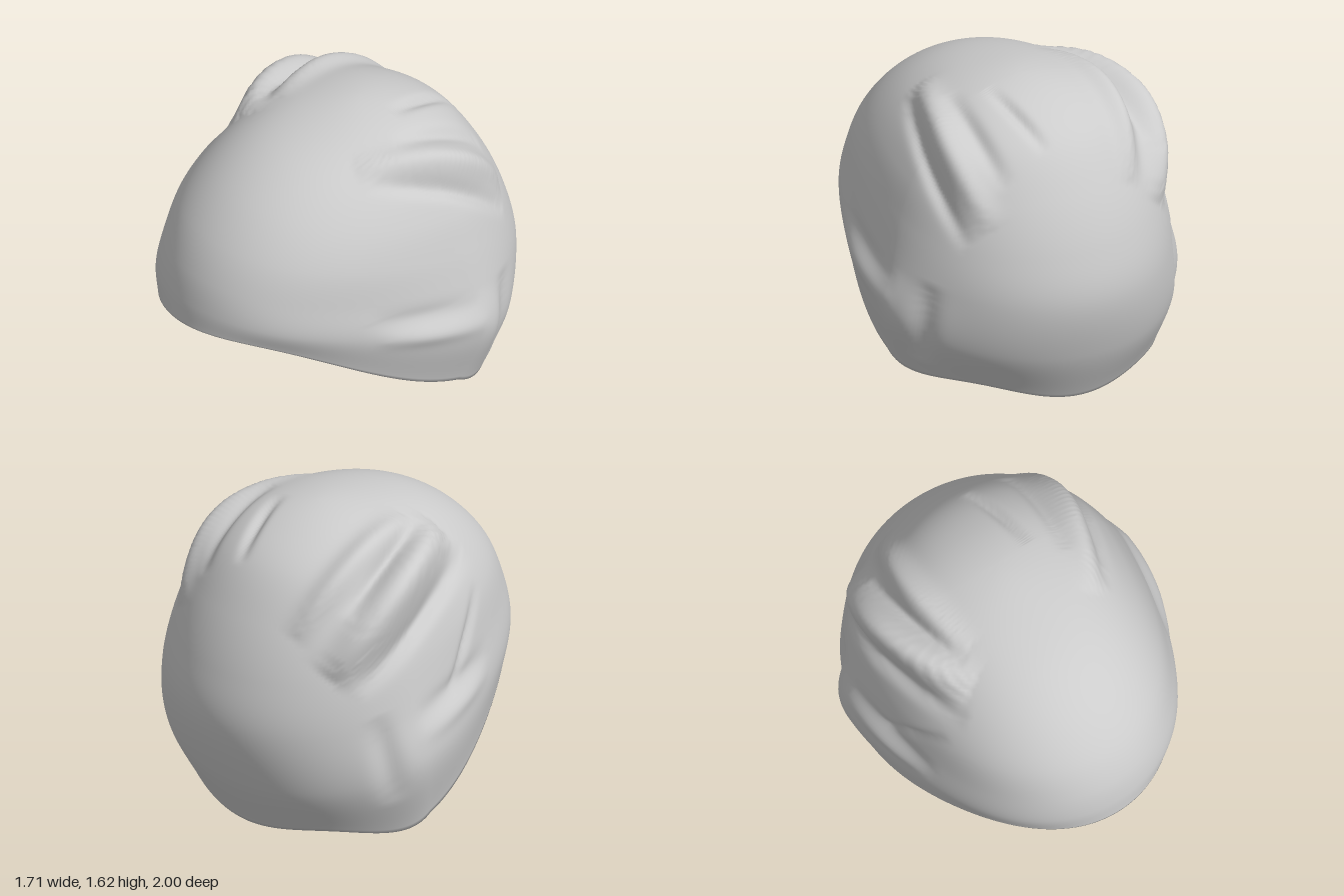
import * as THREE from 'three';
import { mergeVertices } from 'three/addons/utils/BufferGeometryUtils.js';

const CENTRE = new THREE.Vector3(0, 0.7, -0.1);
const AROUND = 200, UP = 110, LINING = 40;

// Rings from rim to crown: front z, y | back z, y | side x, y, z
const RINGS = [
  [1, 0.73, -0.79, 0.02, 0.72, 0.155, -0.2],
  [0.985, 0.86, -0.93, 0.32, 0.76, 0.5, -0.29],
  [0.94, 1.02, -1, 0.65, 0.75, 0.76, -0.28],
  [0.84, 1.2, -0.95, 0.92, 0.725, 1, -0.25],
  [0.66, 1.385, -0.83, 1.2, 0.66, 1.2, -0.25],
  [0.42, 1.525, -0.66, 1.44, 0.54, 1.4, -0.25],
  [0.1, 1.61, -0.45, 1.57, 0.36, 1.55, -0.22],
  [-0.2, 1.632, -0.2, 1.632, 0, 1.632, -0.2],
];

// Cloth folds along arcs: height (negative for a groove), width,
// then heading and elevation in degrees of the start and of the end
const CROWN_FOLDS = [
  [0.065, 0.085, 55, 61, 144, 25],
  [-0.035, 0.05, 61, 56, 136, 18],
  [-0.03, 0.05, 90, 67, 150, 39],
  [-0.03, 0.035, 170, 50, 121, 75],
  [0.14, 0.12, -50, 53, -139, 18],
  [-0.05, 0.07, -48, 42, -129, 13],
  [-0.05, 0.05, -58, 60, -132, 38],
  [0.065, 0.08, -61, 64, -153, 31],
  [-0.025, 0.04, -55, 31, -86, 1],
];
// Soft creases over each ear
const EAR_FOLDS = [
  [-0.02, 0.07, 57, 7, 107, -1],
  [0.018, 0.06, 60, 0, 108, -8],
  [-0.03, 0.08, 122, 3, 116, -29],
];

function heading(az, el) {
  const a = THREE.MathUtils.degToRad(az), e = THREE.MathUtils.degToRad(el);
  return new THREE.Vector3(Math.sin(a) * Math.cos(e), Math.sin(e), Math.cos(a) * Math.cos(e));
}

function makeFold([height, width, az1, el1, az2, el2], side) {
  const from = heading(az1 * side, el1), to = heading(az2 * side, el2);
  const dirs = [];
  for (let i = 0; i <= 40; i++) dirs.push(from.clone().lerp(to, i / 40).normalize());
  return { height, width, dirs };
}

const folds = CROWN_FOLDS.map((f) => makeFold(f, 1));
for (const side of [1, -1]) folds.push(...EAR_FOLDS.map((f) => makeFold(f, side)));

// Point on one ring; the height blends smoothly from back through side to front
function ringPoint(k, a) {
  const [fz, fy, bz, by, w, sy, sz] = RINGS[k];
  const c = Math.cos(a), s = Math.sin(a);
  const fullness = c > 0 ? (k === 0 ? 0.1 : 0.23 - 0.03 * k) * c * c : 0;
  const earBulge = 0.13 * Math.exp(-(((sy - 0.42) / 0.35) ** 2)) * s ** 8;
  const x = w * s * (1 + fullness + earBulge);
  let y = sy + c * (fy - by) / 2 + c * c * ((fy + by) / 2 - sy);
  if (k === 0) y += 0.33 * c * c * (1 - c * c);
  y += 0.075 * s * Math.max(0, 1 - k / 3); // the rim sits lower on the right
  const z = sz + c * (c > 0 ? fz - sz : sz - bz);
  return new THREE.Vector3(x, y, z);
}

// Line from rim to crown, carried one ring past the crown to keep it round
function makeMeridian(a) {
  const points = RINGS.map((ring, k) => ringPoint(k, a));
  points.push(ringPoint(RINGS.length - 2, a + Math.PI));
  const curve = new THREE.CatmullRomCurve3(points);
  return (t) => curve.getPoint(t * (RINGS.length - 1) / RINGS.length);
}

// Push a point in or out by every fold close to it
function addFolds(p) {
  const dir = p.clone().sub(CENTRE).normalize();
  let push = 0;
  for (const { height, width, dirs } of folds) {
    let best = Infinity, at = 0;
    dirs.forEach((d, i) => {
      const q = d.distanceToSquared(dir);
      if (q < best) { best = q; at = i; }
    });
    const taper = Math.sin(Math.PI * at / (dirs.length - 1));
    push += height * taper * Math.exp(-best / (width * width));
  }
  return p.addScaledVector(dir, push);
}

function capGeometry() {
  const rows = LINING + UP + 2;
  const positions = [], index = [];
  for (let i = 0; i < AROUND; i++) {
    const meridian = makeMeridian((i / AROUND) * Math.PI * 2);
    // lining from crown down to rim
    for (let j = 0; j <= LINING; j++) {
      const p = addFolds(meridian(1 - j / LINING));
      p.sub(CENTRE).multiplyScalar(0.975).add(CENTRE);
      positions.push(p.x, p.y, p.z);
    }
    // outside from rim up to crown
    for (let j = 0; j <= UP; j++) {
      const p = addFolds(meridian(j / UP));
      positions.push(p.x, p.y, p.z);
    }
    const b = i * rows, n = ((i + 1) % AROUND) * rows;
    for (let j = 0; j < rows - 1; j++) {
      index.push(b + j, n + j, n + j + 1, b + j, n + j + 1, b + j + 1);
    }
  }
  const geo = new THREE.BufferGeometry();
  geo.setAttribute('position', new THREE.Float32BufferAttribute(positions, 3));
  geo.setIndex(index);
  const merged = mergeVertices(geo, 1e-5);
  merged.computeVertexNormals();
  return merged;
}

export function createModel() {
  const group = new THREE.Group();
  group.name = 'knitCap';
  const cap = new THREE.Mesh(capGeometry(), new THREE.MeshStandardMaterial({ color: 0xcccccc }));
  cap.name = 'capShell';
  group.add(cap);
  return group;
}
